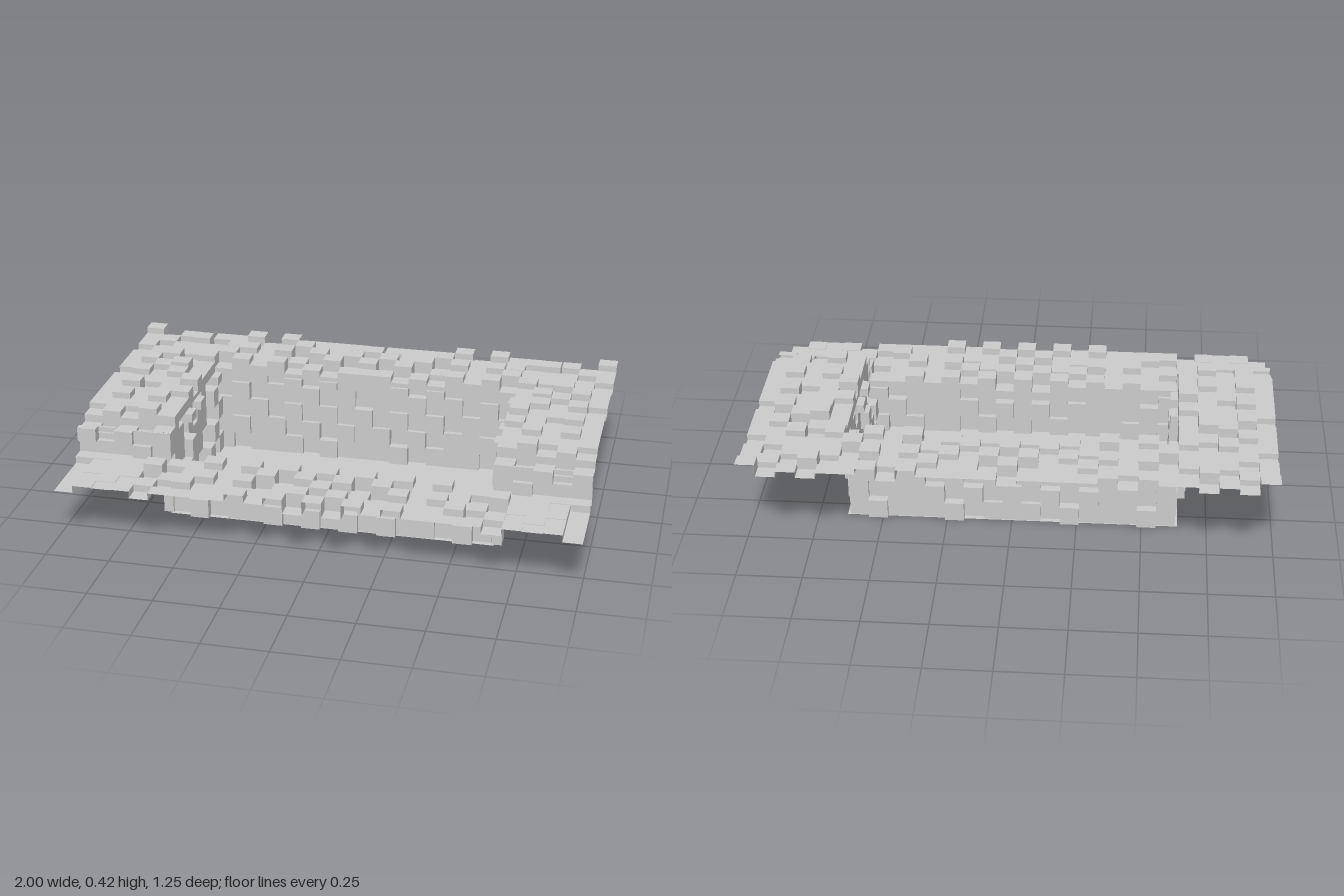
import * as THREE from 'three';

const NX = 27, NZ = 20;              // block grid of the rim
const X = 1, Z = 0.623;              // half sizes
const xs = Array.from({ length: NX + 1 }, (_, i) => -X + (2 * X * i) / NX);
const zs = Array.from({ length: NZ + 1 }, (_, j) => -Z + (2 * Z * j) / NZ);
const lowRows = [0, 0.0765, 0.153, 0.205];
const highRows = [0, 0.0765, 0.153, 0.23, 0.305, 0.34];

// Repeatable level 0, 1 or 2: a checkerboard of low and high blocks, broken up by a hash
function level(i, j, seed) {
  let h = Math.imul(i + 11, 374761393) ^ Math.imul(j + 7, 668265263) ^ Math.imul(seed + 3, 974634777);
  h = Math.imul(h ^ (h >>> 13), 1274126177);
  h = Math.imul(h ^ (h >>> 15), 739982445);
  return ((i + j) & 1) + ((h >>> 16) & 1);
}
const fold = (i, n) => Math.abs(i - (n - 1) / 2); // same value either side of the middle

// Grid of blocks pushed out by depth(i, j); null leaves a hole whose rim drops to d = 0.
// place(u, v, d) maps the grid to space, skirt closes the outer border down to d = 0.
function blockPanel(name, us, vs, depth, place, skirt) {
  const pos = [];
  const quad = (...p) => {
    const c = p.map((q) => place(...q));
    for (const k of [0, 1, 2, 0, 2, 3]) pos.push(...c[k]);
  };
  const nu = us.length - 1, nv = vs.length - 1;
  const inside = (i, j) => i >= 0 && j >= 0 && i < nu && j < nv;
  const at = (i, j) => (inside(i, j) ? depth(i, j) : null);
  // Step between two neighbouring cells along the edge a-b
  const step = (i0, j0, i1, j1, a, b) => {
    const d0 = at(i0, j0), d1 = at(i1, j1);
    if (d0 === null && d1 === null) return;
    if (!skirt && !(inside(i0, j0) && inside(i1, j1))) return;
    const lo = d0 ?? 0, hi = d1 ?? 0;
    if (Math.abs(lo - hi) > 1e-5) quad([...a, lo], [...b, lo], [...b, hi], [...a, hi]);
  };
  for (let i = 0; i <= nu; i++) {
    for (let j = 0; j <= nv; j++) {
      const d = at(i, j);
      if (d !== null) {
        quad([us[i], vs[j], d], [us[i], vs[j + 1], d], [us[i + 1], vs[j + 1], d], [us[i + 1], vs[j], d]);
      }
      if (j < nv) step(i - 1, j, i, j, [us[i], vs[j]], [us[i], vs[j + 1]]);
      if (i < nu) step(i, j - 1, i, j, [us[i], vs[j]], [us[i + 1], vs[j]]);
    }
  }
  const g = new THREE.BufferGeometry();
  g.setAttribute('position', new THREE.Float32BufferAttribute(pos, 3));
  g.computeVertexNormals();
  const m = new THREE.Mesh(g, new THREE.MeshStandardMaterial({
    color: 0xcccccc, flatShading: true, side: THREE.DoubleSide,
  }));
  m.name = name;
  return m;
}

export function createModel() {
  const model = new THREE.Group();
  model.name = 'steppedBasin';

  // High rim around the back and both sides, open over the basin
  const highRim = (i, j) => {
    if (i >= 5 && i <= 21 && j >= 5) return null;
    const f = fold(i, NX);
    if (j === 14) return [-0.025, -0.012, 0][level(f, j, 1)];
    if (j === 6 && f === 10) return 0.082;
    return [0.018, 0.042, 0.067][level(f, j, 1)];
  };
  model.add(blockPanel('highRim', xs, zs.slice(0, 16), highRim,
    (u, v, d) => [u, 0.34 + d, v], false));

  // Low rim along the front, with flat outer edges; row 0 is the opening behind it
  const lowRim = (i, j) => {
    if (j === 0) return null;
    const f = fold(i, NX);
    if (f === 13 && j > 1) return 0;
    const lowest = f > 9 ? 0.026 : 0;
    return [lowest, 0.028, 0.057][level(f, j, 2)];
  };
  model.add(blockPanel('lowRim', xs, zs.slice(14), lowRim,
    (u, v, d) => [u, 0.205 + d, v], false));

  // Back and front basin walls
  const wallX = xs.slice(5, 23);
  const endWall = (seed) => (i, j) => [-0.012, 0.004, 0.023][level(fold(i, 17), j, seed)];
  model.add(blockPanel('backWall', wallX, highRows, endWall(3), (u, v, d) => [u, v, -0.312 - d], true));
  model.add(blockPanel('frontWall', wallX, lowRows, endWall(4), (u, v, d) => [u, v, 0.312 + d], true));

  for (const side of [-1, 1]) {
    const label = side > 0 ? 'left' : 'right';
    // Side basin wall
    const sideWall = (i, j) => [-0.03, 0.005, 0.038][level(i, j, 5)];
    model.add(blockPanel(label + 'Wall', zs.slice(5, 16), highRows, sideWall,
      (u, v, d) => [side * (0.63 + d), v, u], true));
    // Step where the side rim drops to the front rim
    const drop = (i, j) => [-0.012, 0.008, 0.028][level(i, j, 6)];
    model.add(blockPanel(label + 'Drop', xs.slice(22), [0.23, 0.285, 0.34], drop,
      (u, v, d) => [side * u, v, 0.312 + d], true));
  }

  // Basin floor
  const floor = new THREE.Mesh(new THREE.PlaneGeometry(1.28, 0.64).rotateX(-Math.PI / 2),
    new THREE.MeshStandardMaterial({ color: 0xcccccc, side: THREE.DoubleSide }));
  floor.name = 'basinFloor';
  model.add(floor);
  return model;
}
